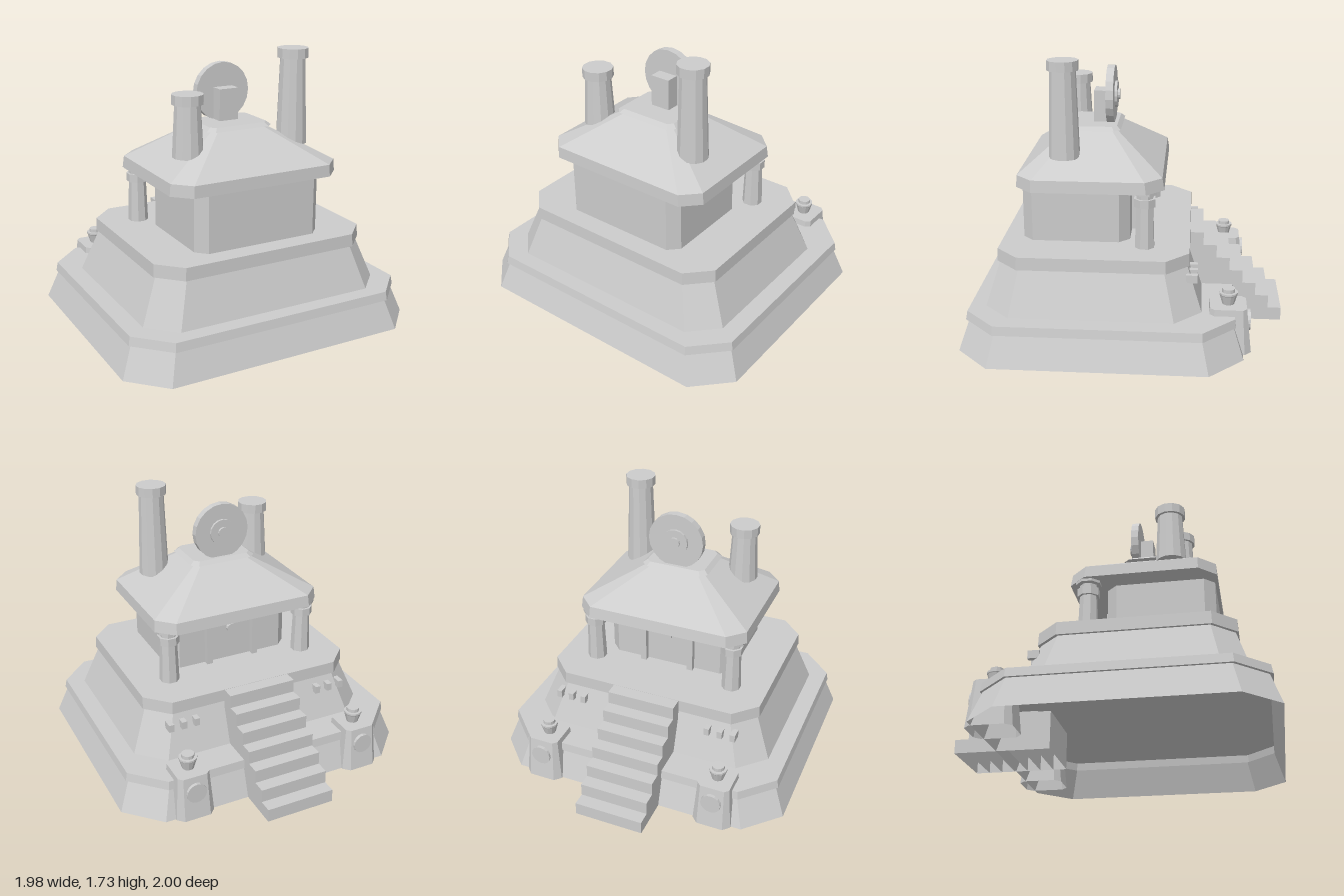
import * as THREE from 'three';

const stone = new THREE.MeshStandardMaterial({ color: 0xcccccc, side: THREE.DoubleSide });
stone.name = 'stone grey';

// Stack of chamfered rectangles: [y, halfWidth, zBack, zFront, chamfer]
function loft(sections) {
  const pos = [], idx = [];
  for (const [y, x, zb, zf, c] of sections) {
    const ring = [[x, zf - c], [x, zb + c], [x - c, zb], [c - x, zb],
      [-x, zb + c], [-x, zf - c], [c - x, zf], [x - c, zf]];
    for (const [px, pz] of ring) pos.push(px, y, pz);
  }
  const last = (sections.length - 1) * 8;
  for (let s = 0; s < last; s += 8) {
    for (let i = 0; i < 8; i++) {
      const j = (i + 1) % 8;
      idx.push(s + i, s + j, s + 8 + j, s + i, s + 8 + j, s + 8 + i);
    }
  }
  for (let i = 1; i < 7; i++) {
    idx.push(0, i + 1, i);
    idx.push(last, last + i, last + i + 1);
  }
  const g = new THREE.BufferGeometry();
  g.setAttribute('position', new THREE.Float32BufferAttribute(pos, 3));
  g.setIndex(idx);
  return flat(g);
}

function flat(g) {
  const n = g.index ? g.toNonIndexed() : g;
  n.computeVertexNormals();
  return n;
}

// Removes the faces lying on the ground, leaving a hollow shell
function openBottom(g) {
  const p = g.attributes.position.array, kept = [];
  for (let i = 0; i < p.length; i += 9) {
    if (Math.max(p[i + 1], p[i + 4], p[i + 7]) > 0.001) kept.push(...p.slice(i, i + 9));
  }
  const shell = new THREE.BufferGeometry();
  shell.setAttribute('position', new THREE.Float32BufferAttribute(kept, 3));
  return flat(shell);
}

// Faceted turned part from [radius, y] points
function turned(points, sides) {
  const g = flat(new THREE.LatheGeometry(points.map(p => new THREE.Vector2(p[0], p[1])), sides));
  return g.rotateY(Math.PI / sides);
}

// Round plate whose axis runs along z
function plate(r, depth, sides) {
  return flat(new THREE.CylinderGeometry(r, r, depth, sides)).rotateX(Math.PI / 2);
}

export function createModel() {
  const model = new THREE.Group();
  model.name = 'shrine';
  const add = (name, geometry, x = 0, y = 0, z = 0) => {
    const m = new THREE.Mesh(geometry, stone);
    m.name = name;
    m.position.set(x, y, z);
    model.add(m);
  };

  // Two sloping terraces with overhanging rims; the lower one is hollow
  add('lowerTerrace', openBottom(loft([
    [0, 0.99, -0.735, 1, 0.21], [0.19, 0.918, -0.672, 0.938, 0.19],
    [0.19, 0.935, -0.686, 0.958, 0.2], [0.245, 0.925, -0.678, 0.948, 0.195]])));
  add('upperTerrace', loft([
    [0.24, 0.815, -0.48, 0.85, 0.165], [0.52, 0.705, -0.385, 0.765, 0.135],
    [0.52, 0.722, -0.4, 0.78, 0.14], [0.6, 0.718, -0.398, 0.777, 0.14]]));

  // Chamber and roof with a shallow vertical eave
  add('chamber', loft([[0.59, 0.43, -0.022, 0.65, 0.065], [0.97, 0.43, -0.022, 0.65, 0.065]]));
  add('roof', loft([[0.962, 0.575, -0.237, 0.669, 0.106], [1.037, 0.568, -0.225, 0.665, 0.103],
    [1.255, 0.19, 0.075, 0.38, 0.03]]));
  add('roofCap', loft([[1.257, 0.225, 0.05, 0.402, 0.04], [1.28, 0.197, 0.075, 0.378, 0.03]]));

  // Doorway on the stair side
  for (const s of [-1, 1]) {
    add('doorPost', new THREE.BoxGeometry(0.04, 0.295, 0.05), s * 0.165, 0.745, -0.035);
  }
  add('doorBoss', plate(0.03, 0.03, 12), 0, 0.82, -0.03);

  // Chimneys
  for (const [x, top] of [[-0.365, 1.51], [0.363, 1.73]]) {
    add('chimney', turned([[0, 1.13], [0.097, 1.13], [0.08, top - 0.06],
      [0.097, top - 0.06], [0.097, top], [0, top]], 12), x, 0, 0.382);
  }

  // Roof disc with raised rings and its rear support
  add('discSupport', new THREE.BoxGeometry(0.132, 0.21, 0.09), 0, 1.375, 0.185);
  add('disc', plate(0.185, 0.048, 20), 0, 1.448, 0.122);
  add('discRing', plate(0.085, 0.03, 16), 0, 1.448, 0.097);
  add('discHub', plate(0.035, 0.04, 12), 0, 1.448, 0.088);

  // Staircase of hollow blocks, each one rise taller than the last
  const steps = 7, size = 0.6 / steps;
  for (let i = 0; i < steps; i++) {
    const height = (i + 1) * size;
    const block = new THREE.BoxGeometry(0.45, height, size);
    block.translate(0, height / 2, -1 + (i + 0.5) * size);
    add('step', openBottom(flat(block)));
  }

  for (const s of [-1, 1]) {
    // Porch column
    add('column', turned([[0, 0.59], [0.064, 0.59], [0.055, 0.865], [0.07, 0.865], [0.07, 0.917],
      [0.055, 0.917], [0.055, 0.942], [0.08, 0.945], [0.08, 0.963], [0, 0.963]], 8), s * 0.48, 0, -0.12);

    // Pedestal with urn and medallion
    add('pedestal', openBottom(loft([
      [0, 0.125, -0.785, -0.5, 0.04], [0.285, 0.103, -0.752, -0.53, 0.025]])), s * 0.59);
    add('urn', turned([[0, 0.28], [0.036, 0.28], [0.055, 0.345], [0.058, 0.35], [0.058, 0.362],
      [0.04, 0.362], [0.04, 0.385], [0, 0.385]], 12), s * 0.588, 0, -0.64);
    add('medallion', plate(0.065, 0.03, 16), s * 0.59, 0.18, -0.763);

    // Row of small blocks on the upper terrace
    for (const x of [0.435, 0.522, 0.608]) {
      add('wallBlock', new THREE.BoxGeometry(0.034, 0.05, 0.07), s * x, 0.45, -0.415);
    }
  }
  return model;
}
